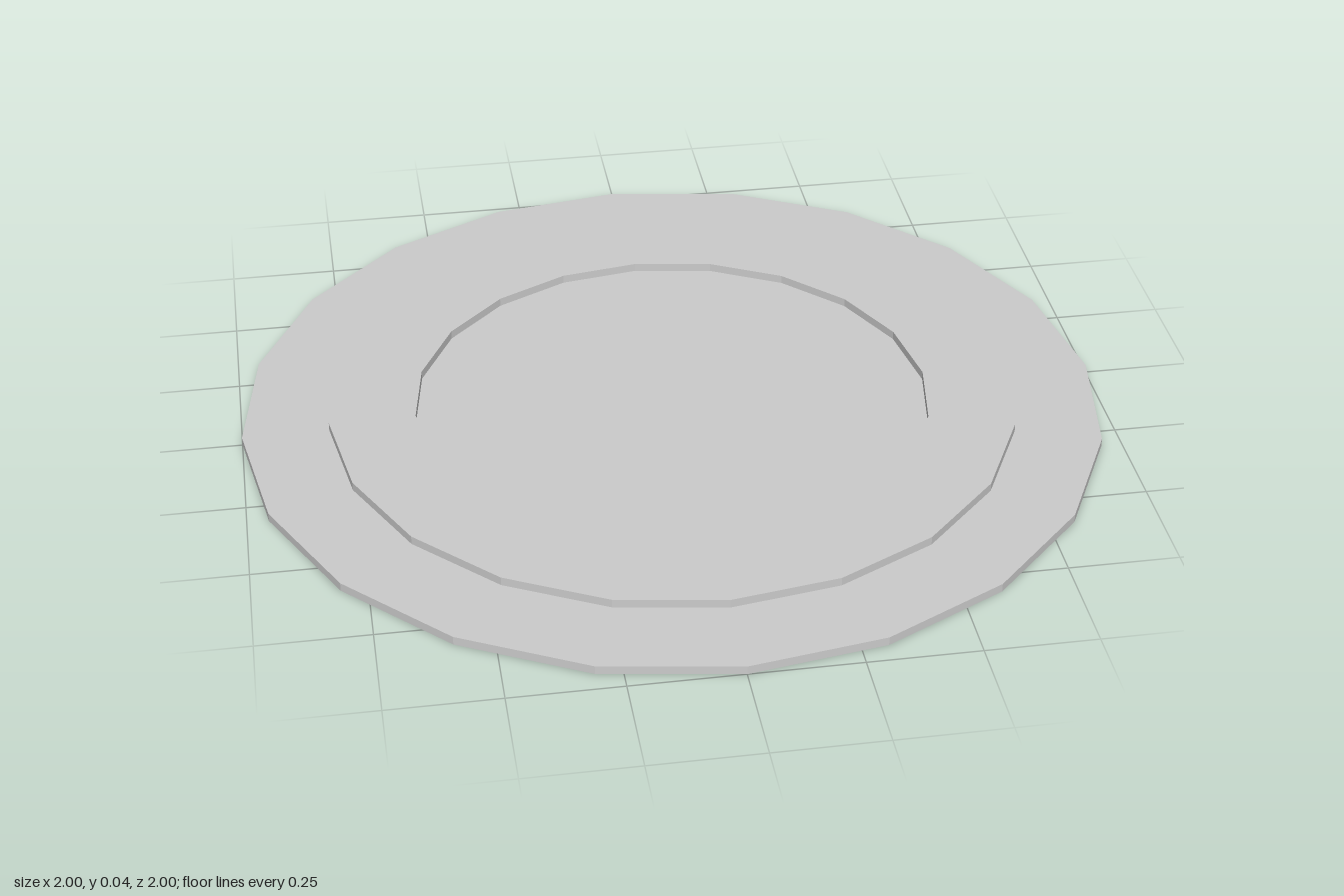
import * as THREE from 'three';

const SIDES = 20;
const THICKNESS = 0.02;

export function createModel() {
  const group = new THREE.Group();
  const material = new THREE.MeshStandardMaterial({ color: 0xcccccc, flatShading: true });

  function add(name, geometry, y) {
    const mesh = new THREE.Mesh(geometry, material);
    mesh.name = name;
    mesh.position.y = y;
    group.add(mesh);
  }

  // Flat twenty-sided base plate
  add('basePlate', new THREE.CylinderGeometry(1, 1, THICKNESS, SIDES), THICKNESS / 2);

  // Raised ring on the plate: outer wall, flat top, inner wall
  const profile = [[0.8, 0], [0.8, THICKNESS], [0.6, THICKNESS], [0.6, 0]]
    .map(([r, y]) => new THREE.Vector2(r, y));
  add('raisedRing', new THREE.LatheGeometry(profile, SIDES), THICKNESS);

  return group;
}
